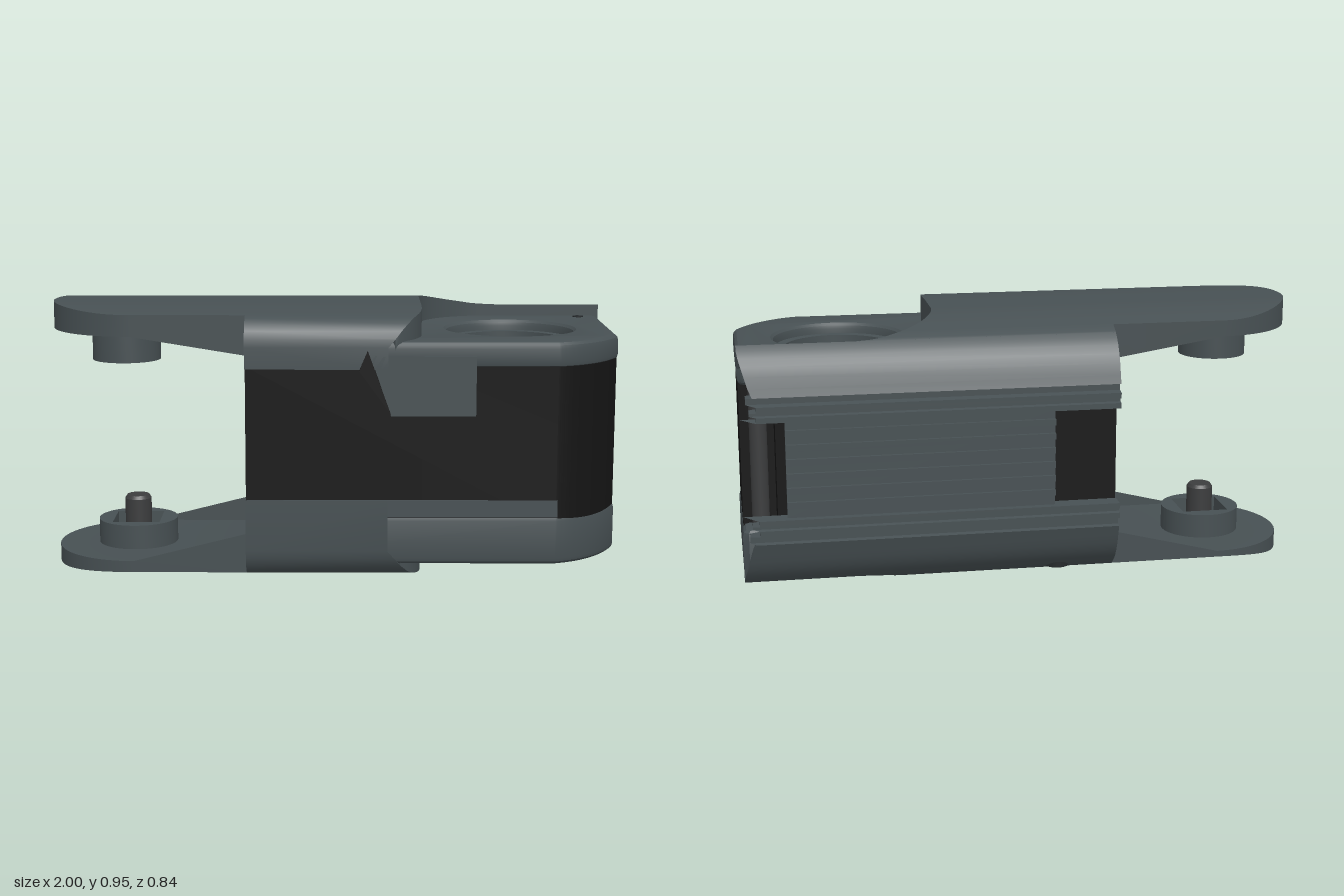
import * as THREE from 'three';
import { toCreasedNormals } from 'three/addons/utils/BufferGeometryUtils.js';

const mat = (color) => new THREE.MeshStandardMaterial({ color, side: THREE.DoubleSide });
const H = 0.95, HOLE = [0.635, 0.03];

function add(parent, name, geo, material, x = 0, y = 0, z = 0) {
  const m = new THREE.Mesh(geo, material);
  m.name = name;
  m.position.set(x, y, z);
  parent.add(m);
  return m;
}

// Plan shape (x, z) extruded upwards from y0 to y1
function planSlab(shape, y0, y1, bevel) {
  const g = new THREE.ExtrudeGeometry(shape, {
    depth: y1 - y0 - 2 * bevel, bevelEnabled: bevel > 0, bevelThickness: bevel,
    bevelSize: bevel, bevelOffset: -bevel, bevelSegments: 3, curveSegments: 40,
  });
  g.rotateX(-Math.PI / 2).translate(0, y0 + bevel, 0);
  return toCreasedNormals(g, 0.5);
}

// Body outline with a sloped front corner and a round hole
function bodyShape(x0, x1, front, back, notch, r) {
  const s = new THREE.Shape();
  s.moveTo(x0, -front);
  s.lineTo(0.77, -front);
  s.quadraticCurveTo(0.92, -0.37, x1, -0.2);
  if (notch) {
    s.lineTo(x1, 0.235); s.lineTo(0.88, 0.235); s.lineTo(0.88, -back);
  } else {
    s.lineTo(x1, -back - 0.02); s.lineTo(x1 - 0.02, -back);
  }
  s.lineTo(x0, -back);
  s.closePath();
  const h = new THREE.Path();
  h.absarc(HOLE[0], -HOLE[1], r, 0, Math.PI * 2, true);
  s.holes.push(h);
  return s;
}

// Height of the gently crowned outer surface
function crown(z) {
  if (z > 0.1) return H - 0.02 * ((z - 0.1) / 0.235) ** 2;
  if (z < -0.05) return H - 0.038 * ((-z - 0.05) / 0.22) ** 2;
  return H;
}

// Where the raised surface ends, bordering the sunken floor
function endX(z) {
  if (z > 0.22) return 0.19 + 0.12 * Math.sqrt(Math.max(0, 1 - ((z - 0.22) / 0.2) ** 2));
  if (z > -0.05) return 0.31;
  if (z >= -0.31) return 0.6 - 0.29 * Math.sqrt(Math.max(0, 1 - ((-z - 0.05) / 0.26) ** 2));
  return 0.9 + Math.sqrt(Math.max(0, 0.01 - Math.max(0, -z - 0.32) ** 2));
}

// Raised shell with its tongue, lofted from front to back
function shellGeometry(split, floor, under) {
  const rows = [[0.42, split], [0.42, 0.83], [0.416, 0.858], [0.405, 0.885], [0.385, 0.908], [0.36, 0.923],
    [0.335, crown(0.335)]].map(([z, y]) => ({ z, y }));
  for (let i = 0; i <= 48; i++) {
    const z = 0.0325 + 0.3025 * Math.cos(Math.PI * i / 48);
    rows.push({ z, y: crown(z), tongue: -0.7 - 0.3 * Math.sin(Math.PI * i / 48) });
  }
  for (const [z, y] of [[-0.27, crown(-0.27)], [-0.285, 0.906], [-0.298, 0.899], [-0.306, 0.895], [-0.31, 0.892],
    [-0.3101, 0.892], [-0.33, 0.876], [-0.35, 0.855], [-0.368, 0.828], [-0.382, 0.798], [-0.394, 0.76], [-0.404, 0.73],
    [-0.385, 0.727], [-0.385, 0.705], [-0.41, 0.7], [-0.41, 0.68], [-0.395, 0.677], [-0.395, 0.667],
    [-0.41, 0.664], [-0.41, 0.645], [-0.345, 0.645]]) rows.push({ z, y });
  const pos = [], index = [];
  let n = 0;
  for (const { z, y, tongue } of rows) {
    const xe = endX(z);
    const top = y > floor;
    const iz = top ? z : Math.max(-0.345, Math.min(0.38, z));
    const endY = top ? floor - 0.03 : y;
    const leftY = top ? 0.79 : y;
    const line = tongue !== undefined
      ? [[-0.3, 0.79, z], [-0.3, under - 0.035, z], [-0.31, under - 0.012, z], [-0.335, under, z],
        [tongue, under, z], [tongue, y, z]]
      : [...Array(5).fill([-0.3, leftY, iz]), [-0.3, y, z]];
    line.push([xe, y, z], [xe, endY, iz]);
    n = line.length;
    pos.push(...line.flat());
  }
  for (let j = 0; j < rows.length - 1; j++) {
    for (let i = 0; i < n - 1; i++) {
      const a = j * n + i, b = a + n;
      index.push(a, a + 1, b, a + 1, b + 1, b);
    }
  }
  const g = new THREE.BufferGeometry();
  g.setAttribute('position', new THREE.Float32BufferAttribute(pos, 3));
  g.setIndex(index);
  return toCreasedNormals(g, 0.5);
}

function flatPanel(points, depth) {
  return new THREE.ExtrudeGeometry(new THREE.Shape(points.map(([x, y]) => new THREE.Vector2(x, y))),
    { depth, bevelEnabled: false });
}

const ring = (ri, ro, h) => new THREE.LatheGeometry(
  [[ri, 0], [ro, 0], [ro, h], [ri, h], [ri, 0]].map(([x, y]) => new THREE.Vector2(x, y)), 48);
const smoothRing = (ri, ro, h) => toCreasedNormals(ring(ri, ro, h), 0.5);
const disc = (r, h, n = 36) => new THREE.CylinderGeometry(r, r, h, n);

export function createModel() {
  const root = new THREE.Group();
  root.name = 'clampDevice';
  const grey = mat(0x475053), black = mat(0x141414), steel = mat(0x3c3d3e), dark = mat(0x25292b);

  // Top and bottom covers, the bottom one mirrored
  function cover(name, split, shellSplit, floor, under, holeR) {
    const g = new THREE.Group();
    g.name = name;
    add(g, 'shell', shellGeometry(shellSplit, floor, under), grey);
    add(g, 'sunkenFloor', planSlab(bodyShape(-0.295, 1, 0.415, -0.33, false, holeR), split, floor, 0.024), grey);
    root.add(g);
    return g;
  }
  cover('topCover', 0.755, 0.755, 0.85, 0.855, 0.225);
  const bottom = cover('bottomCover', 0.7, 0.65, 0.88, 0.89, 0.115);
  bottom.scale.y = -1;
  bottom.position.y = H;
  add(root, 'openingRing', smoothRing(0.19, 0.228, 0.03), grey, HOLE[0], 0.78, HOLE[1]);

  // Raised lip of the bottom cover
  add(root, 'frontLip', new THREE.BoxGeometry(1.07, 0.06, 0.03), grey, 0.24, 0.27, 0.402);
  add(root, 'endLip', new THREE.BoxGeometry(0.03, 0.14, 0.74), grey, -0.286, 0.23, 0.035);

  // Dark core and corner rod
  add(root, 'core', planSlab(bodyShape(-0.298, 0.996, 0.412, -0.345, true, 0.23), 0.2, 0.765, 0), black);
  add(root, 'cornerRod', disc(0.03, 0.56), steel, 0.935, 0.5, -0.265);
  add(root, 'rodTop', disc(0.02, 0.01), dark, 0.92, 0.848, -0.27);

  // Front tab with a slanted dark notch
  add(root, 'frontTab', flatPanel([[0.13, 0.8], [0.2, 0.595], [0.49, 0.595], [0.49, 0.8]], 0.02), grey, 0, 0, 0.4);
  add(root, 'tabNotch', flatPanel([[0.09, 0.75], [0.2, 0.6], [0.12, 0.82]], 0.023), black, 0, 0, 0.4);

  // Ribbed back plate
  const back = new THREE.Group();
  back.name = 'backPlate';
  root.add(back);
  add(back, 'plate', new THREE.BoxGeometry(0.92, 0.34, 0.012), grey, 0.39, 0.4825, -0.401);
  for (let i = 0; i < 6; i++) {
    add(back, 'rib', new THREE.BoxGeometry(0.92, 0.022, 0.014), grey, 0.39, 0.358 + i * 0.05, -0.412);
  }

  // Upper socket under the tongue
  add(root, 'socketFlange', disc(0.148, 0.02), grey, -0.72, 0.852, 0.03);
  add(root, 'socket', smoothRing(0.085, 0.122, 0.125), grey, -0.745, 0.735, 0.03);

  // Lower boss with pin, set in a square recess
  const square = new THREE.Shape().absarc(-0.715, -0.03, 0.143, 0, Math.PI * 2);
  square.holes.push(new THREE.Path([[-0.085, -0.085], [-0.085, 0.085], [0.085, 0.085], [0.085, -0.085]]
    .map(([x, y]) => new THREE.Vector2(x - 0.715, y - 0.03))));
  add(root, 'boss', planSlab(square, 0.05, 0.147, 0), grey);
  add(root, 'pin', disc(0.048, 0.17), steel, -0.715, 0.135, 0.03);
  add(root, 'pinTip', new THREE.CylinderGeometry(0.04, 0.048, 0.012, 36), steel, -0.715, 0.226, 0.03);

  // Screws on the underside
  for (const [x, y, z, r] of [[-0.715, 0.002, 0.03, 0.09], [0.92, 0.066, -0.27, 0.042],
    [-0.1, 0.053, -0.285, 0.045], [-0.23, 0.003, 0.21, 0.042]]) {
    add(root, 'screwHead', smoothRing(r * 0.45, r, 0.03), dark, x, y, z);
    add(root, 'screwSocket', disc(r * 0.46, 0.02, 6), black, x, y + 0.018, z);
  }
  return root;
}
